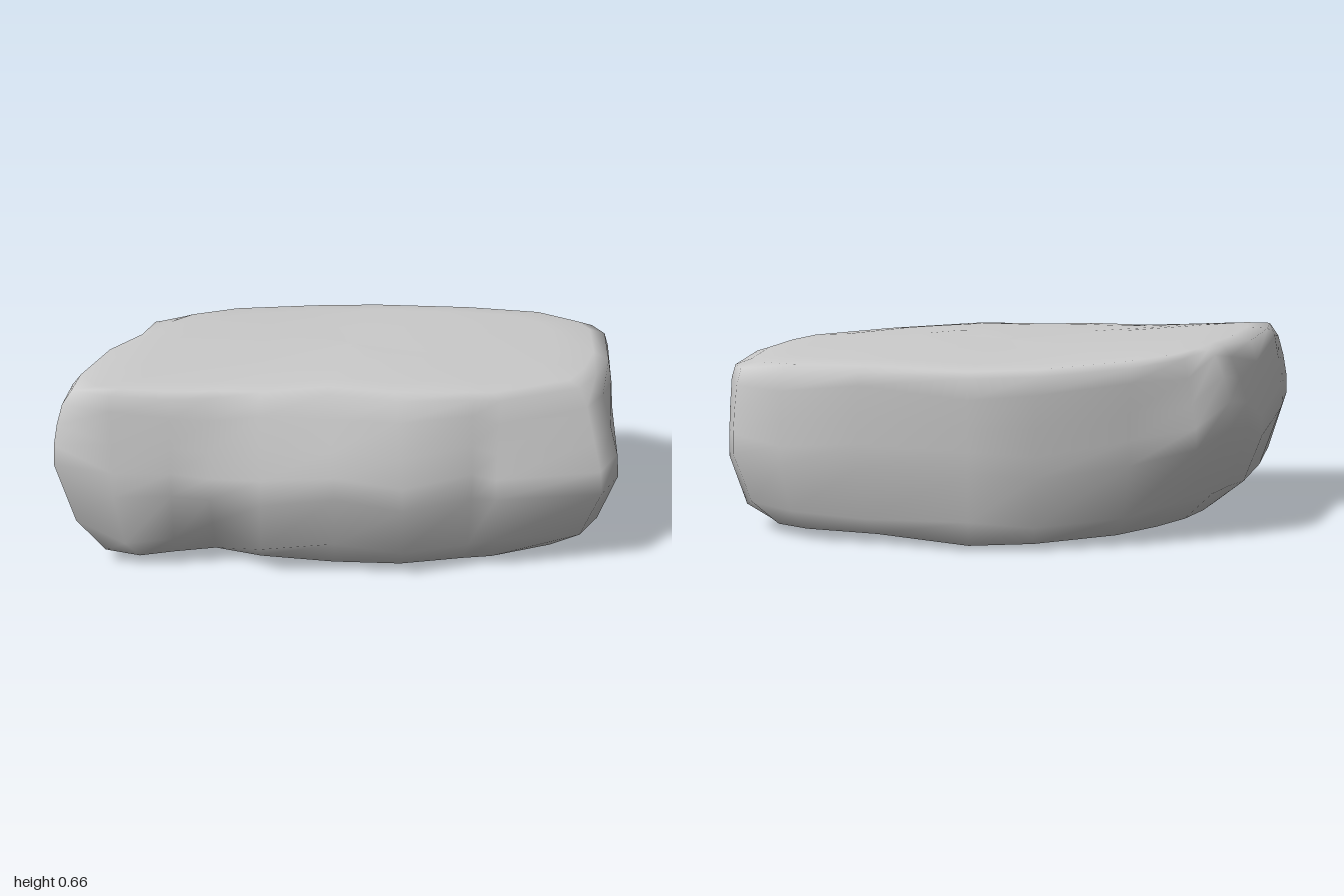
import * as THREE from 'three';

// Three plan outlines (x, z), sharing stations that run from the left front corner around the rock.
const belly = [-1, .43, -.8, .48, -.6, .51, -.47, .49, -.3, .565, -.05, .565, .18, .59, .42, .505,
  .5, .53, .87, .465, .94, .37, .965, .05, 1, -.28, .97, -.37, .79, -.48, .52, -.53,
  .14, -.59, -.08, -.58, -.4, -.51, -.63, -.43, -.75, -.37, -.82, -.2, -.88, 0, -.97, .3];
const topEdge = [-.88, .41, -.8, .43, -.6, .44, -.47, .43, -.3, .45, -.07, .41, .16, .46, .42, .43,
  .52, .42, .8, .28, .87, .16, .93, -.02, .95, -.28, .91, -.37, .77, -.46, .5, -.51,
  .14, -.575, -.1, -.555, -.41, -.47, -.58, -.37, -.66, -.27, -.72, -.14, -.8, .01, -.87, .25];
const bottomEdge = [-.84, .41, -.72, .43, -.6, .38, -.46, .34, -.3, .42, -.05, .49, .18, .5, .4, .45,
  .5, .44, .71, .37, .79, .26, .84, .01, .86, -.26, .82, -.35, .71, -.43, .46, -.47,
  .14, -.56, -.08, -.53, -.36, -.43, -.5, -.32, -.6, -.23, -.67, -.09, -.73, .08, -.78, .27];

// Stations whose widest line sits higher than elsewhere.
const raise = { 0: 0.12, 19: 0.06, 20: 0.2, 21: 0.1, 23: 0.08 };

const N = belly.length / 2;
const CENTRE = [0.03, -0.03];

// Gently uneven top and underside.
const topY = (x, z) => 0.648 - 0.022 * x - 0.03 * z * z + 0.008 * Math.sin(5 * x + 3 * z);
const bottomY = (x, z) => 0.018 + 0.03 * x * x + 0.04 * z * z + 0.007 * Math.sin(6 * x + 4 * z);

// Rings from the underside to the top: edge outline, share of belly, height share, scale from centre.
const rings = [
  [bottomEdge, 0, 0, 0], [bottomEdge, 0, 0, 0.45], [bottomEdge, 0, 0, 0.85], [bottomEdge, 0, 0.015, 1],
  [bottomEdge, 0.6, 0.13, 1], [bottomEdge, 1, 0.42, 1], [topEdge, 0.93, 0.55, 1], [topEdge, 0.66, 0.7, 1],
  [topEdge, 0.35, 0.87, 1], [topEdge, 0.08, 0.97, 1], [topEdge, 0, 1, 0.96],
  [topEdge, 0, 1.01, 0.8], [topEdge, 0, 1.015, 0.4], [topEdge, 0, 1.015, 0],
];

// The front and the left back corner slope straight to the top; the other sides stay steep.
const slopes = (i) => (i > 0 && i < 11) || (i > 18 && i < 22);

function rockGeometry() {
  const positions = [], index = [];
  rings.forEach(([edge, share, height, scale], r) => {
    for (let i = 0; i < N; i++) {
      const part = edge === topEdge && !slopes(i) ? share ** 0.35 : share;
      const [x, z] = [0, 1].map((k) => {
        const p = THREE.MathUtils.lerp(edge[2 * i + k], belly[2 * i + k], part);
        return CENTRE[k] + (p - CENTRE[k]) * scale;
      });
      const lifted = height + (raise[i] ?? 0) * 4 * Math.max(0, height * (1 - height));
      // Slight tilt of the side rings, and a chip low on the front.
      let wobble = r > 3 && r < 9 ? 0.015 * Math.sin(i * 2.3 + r * 0.6) : 0;
      if (i === 3 && r === 4) wobble = 0.06;
      positions.push(x, THREE.MathUtils.lerp(bottomY(x, z), topY(x, z), lifted) + wobble, z);
      if (r === rings.length - 1) continue;
      const a = r * N + i, b = r * N + (i + 1) % N, c = b + N, d = a + N;
      if (r > 0) index.push(a, b, c);
      if (r < rings.length - 2) index.push(a, c, d);
    }
  });
  const geometry = new THREE.BufferGeometry();
  geometry.setAttribute('position', new THREE.Float32BufferAttribute(positions, 3));
  geometry.setIndex(index);
  geometry.computeBoundingBox();
  geometry.translate(0, -geometry.boundingBox.min.y, 0);
  geometry.computeVertexNormals();
  return geometry;
}

export function createModel() {
  const group = new THREE.Group();
  group.name = 'boulder';
  const rock = new THREE.Mesh(rockGeometry(), new THREE.MeshStandardMaterial({ color: 0xcccccc }));
  rock.name = 'rock';
  group.add(rock);
  return group;
}
